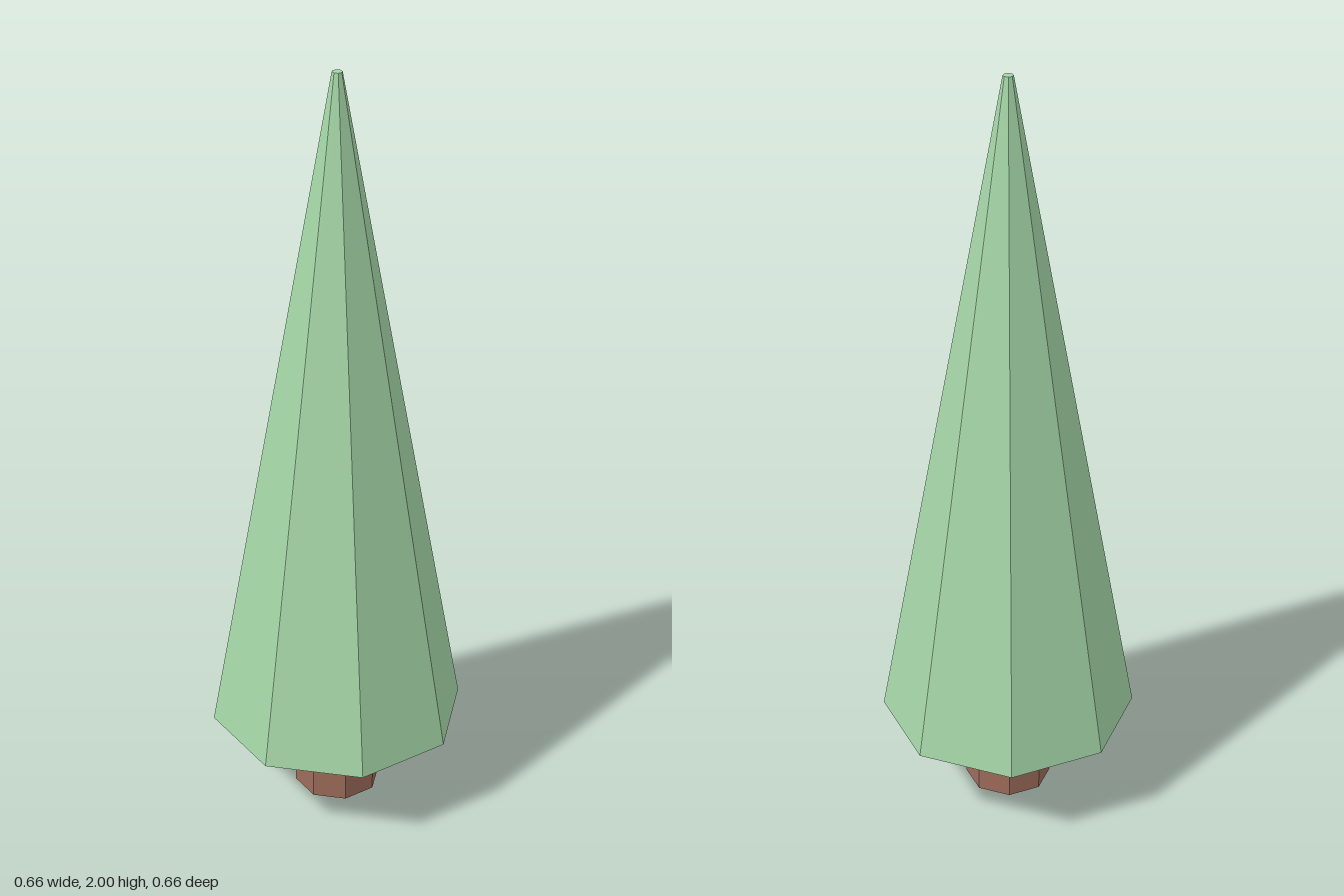
import * as THREE from 'three';

const SIDES = 8;

// Eight-sided flat-shaded frustum standing on height y0
function frustum(name, rTop, rBottom, y0, y1, color) {
  const geometry = new THREE.CylinderGeometry(rTop, rBottom, y1 - y0, SIDES);
  geometry.translate(0, (y0 + y1) / 2, 0);
  const material = new THREE.MeshStandardMaterial({ color, flatShading: true });
  const mesh = new THREE.Mesh(geometry, material);
  mesh.name = name;
  return mesh;
}

export function createModel() {
  const tree = new THREE.Group();
  tree.name = 'tree';
  tree.add(
    frustum('trunk', 0.113, 0.113, 0, 0.232, 0x9c6b5a),
    frustum('foliage', 0.013, 0.331, 0.232, 2, 0xa5d6a7),
  );
  return tree;
}
